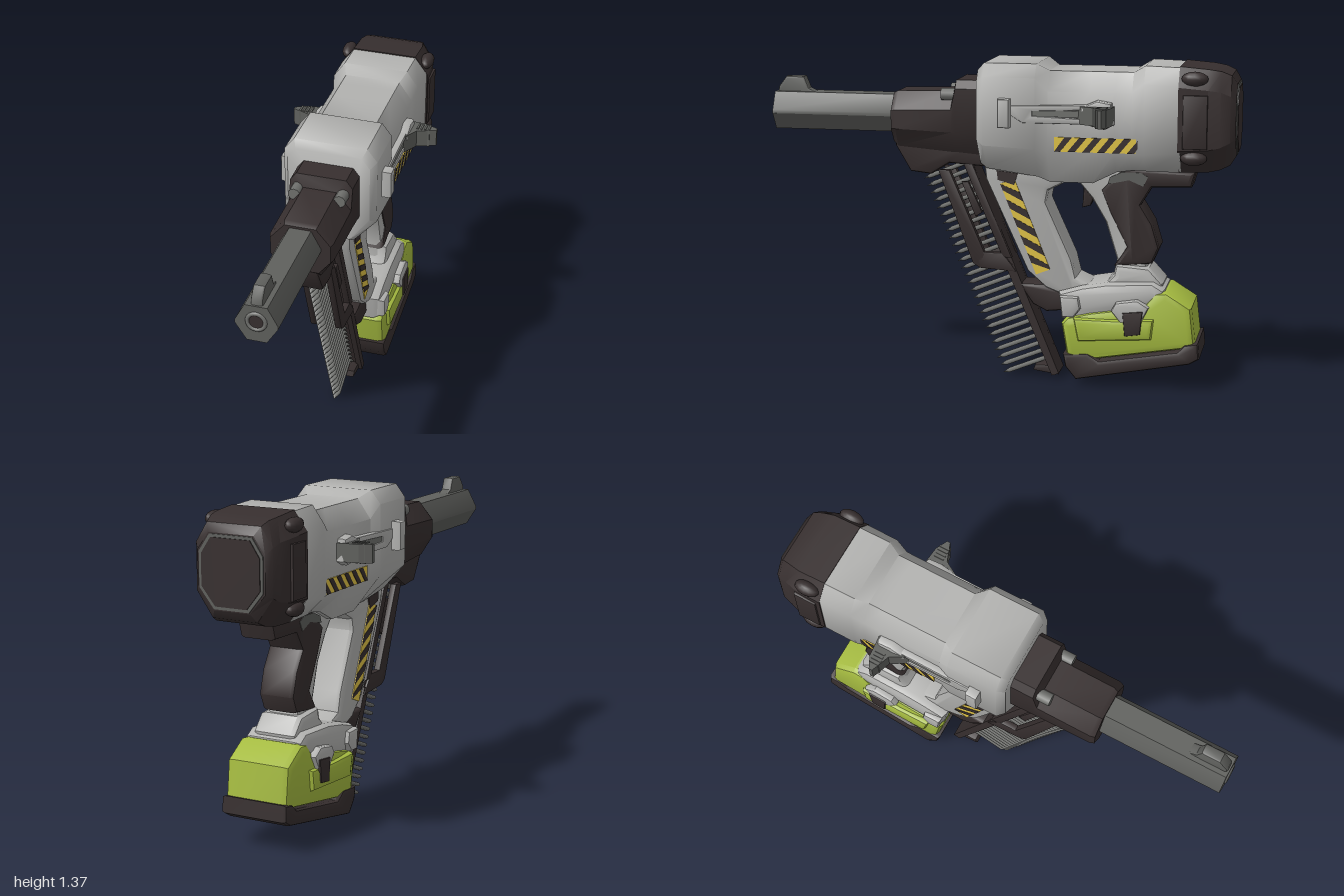
import * as THREE from 'three';
import { toCreasedNormals } from 'three/addons/utils/BufferGeometryUtils.js';

const mat = (name, color) => Object.assign(new THREE.MeshStandardMaterial({ color }), { name });

export function createModel() {
  const root = new THREE.Group();
  root.name = 'nailGun';
  const shell = mat('light grey shell', 0xb2b2b0);
  const dark = mat('dark rubber', 0x372f2f);
  const green = mat('green battery', 0xa5bb40);
  const yellow = mat('hazard yellow', 0xe2c446);
  const steel = mat('steel', 0x70716e);
  const gunmetal = mat('gunmetal', 0x5f605d);

  const add = (name, geo, material, parent = root) => {
    const m = new THREE.Mesh(geo, material);
    m.name = name;
    parent.add(m);
    return m;
  };

  // Side profile in [z, y], extruded across x with a rounded chamfer b
  const prism = (name, pts, width, material, b = 0, x = 0) => {
    const shape = new THREE.Shape(pts.map(p => new THREE.Vector2(p[0], p[1])));
    const depth = width - 2 * b;
    const g = new THREE.ExtrudeGeometry(shape, {
      depth, bevelEnabled: b > 0, bevelThickness: b, bevelSize: b, bevelOffset: -b, bevelSegments: 2,
    });
    g.translate(0, 0, -depth / 2).rotateY(-Math.PI / 2).translate(x, 0, 0);
    return add(name, toCreasedNormals(g, 0.7), material);
  };

  // Solid through rings listed from front to back, each counterclockwise from the front
  const loft = (name, rings, material, crease = 0.55) => {
    const pos = [], n = rings[0].length;
    const tri = (...v) => v.forEach(p => pos.push(...p));
    for (let i = 0; i < rings.length - 1; i++) {
      const a = rings[i], b = rings[i + 1];
      for (let k = 0; k < n; k++) {
        const l = (k + 1) % n;
        tri(a[k], b[k], b[l]);
        tri(a[k], b[l], a[l]);
      }
    }
    const f = rings[0], r = rings[rings.length - 1];
    for (let k = 1; k < n - 1; k++) {
      tri(f[0], f[k], f[k + 1]);
      tri(r[0], r[k + 1], r[k]);
    }
    const g = new THREE.BufferGeometry();
    g.setAttribute('position', new THREE.Float32BufferAttribute(pos, 3));
    return add(name, toCreasedNormals(g, crease), material);
  };

  // Eight-sided section: half width w, top/bottom y, flat half widths and chamfer heights
  const ring = (z, w, top, bot, tw, bw, ct, cb) => {
    const half = [[bw, bot], [w, bot + cb], [w, top - ct], [tw, top]];
    return [...half.map(p => [p[0], p[1], z]), ...half.reverse().map(p => [-p[0], p[1], z])];
  };

  // Main housing
  loft('housing', [
    ring(0.08, 0.175, 1.34, 0.94, 0.14, 0.09, 0.045, 0.11),
    ring(0.05, 0.198, 1.37, 0.92, 0.155, 0.1, 0.055, 0.11),
    ring(-0.17, 0.198, 1.37, 0.89, 0.155, 0.1, 0.055, 0.13),
    ring(-0.22, 0.178, 1.34, 0.87, 0.12, 0.1, 0.08, 0.14),
    ring(-0.4, 0.178, 1.34, 0.87, 0.12, 0.1, 0.08, 0.14),
    ring(-0.5, 0.178, 1.34, 0.92, 0.12, 0.1, 0.08, 0.09),
    ring(-0.57, 0.178, 1.34, 0.93, 0.12, 0.1, 0.08, 0.08),
    ring(-0.62, 0.19, 1.37, 0.93, 0.14, 0.11, 0.07, 0.08),
    ring(-0.77, 0.193, 1.365, 0.93, 0.14, 0.12, 0.07, 0.09),
  ], shell, 0.9);

  // Rear cap, its worn rim and the end plate
  loft('rearCap', [
    ring(-0.76, 0.198, 1.37, 0.93, 0.14, 0.12, 0.08, 0.1),
    ring(-0.88, 0.193, 1.36, 0.935, 0.14, 0.12, 0.08, 0.1),
    ring(-0.93, 0.178, 1.352, 0.945, 0.13, 0.11, 0.08, 0.1),
    ring(-0.97, 0.17, 1.335, 0.965, 0.12, 0.1, 0.08, 0.1),
    ring(-0.992, 0.15, 1.3, 1.0, 0.1, 0.08, 0.07, 0.08),
  ], dark);
  loft('rearRim', [
    ring(-0.985, 0.142, 1.295, 1.005, 0.095, 0.078, 0.07, 0.08),
    ring(-0.996, 0.142, 1.295, 1.005, 0.095, 0.078, 0.07, 0.08),
  ], gunmetal);
  loft('rearPlate', [
    ring(-0.99, 0.13, 1.283, 1.017, 0.087, 0.07, 0.065, 0.075),
    ring(-1.0, 0.13, 1.283, 1.017, 0.087, 0.07, 0.065, 0.075),
  ], dark);

  // Nose block and the neck that feeds it
  loft('nose', [
    ring(0.46, 0.125, 1.225, 1.02, 0.065, 0.075, 0.07, 0.06),
    ring(0.44, 0.132, 1.235, 1.0, 0.07, 0.08, 0.075, 0.08),
    ring(0.2, 0.132, 1.24, 0.98, 0.07, 0.08, 0.075, 0.09),
    ring(0.18, 0.132, 1.29, 0.98, 0.105, 0.08, 0.035, 0.09),
    ring(0.06, 0.132, 1.29, 0.97, 0.105, 0.08, 0.035, 0.09),
  ], dark);
  prism('noseNeck', [[0.455, 1.05], [0.455, 1.0], [0.39, 0.89], [0.3, 0.88], [0.22, 0.93], [0.07, 0.92], [0.07, 1.05]], 0.15, dark, 0.015);

  // Barrel, front sight and muzzle
  loft('barrel', [0.995, 0.45].map(z =>
    ring(z, 0.085, 1.215, 1.055, 0.045, 0.04, 0.075, 0.07)), gunmetal);
  prism('frontSight', [[0.99, 1.2], [0.985, 1.235], [0.95, 1.28], [0.87, 1.28], [0.85, 1.23], [0.79, 1.2]], 0.05, gunmetal, 0.01);
  const muzzle = add('muzzleRing', new THREE.TorusGeometry(0.036, 0.009, 8, 20), steel);
  muzzle.position.set(0, 1.145, 0.993);
  const bore = add('muzzleBore', new THREE.CircleGeometry(0.03, 20), dark);
  bore.position.set(0, 1.145, 0.9965);

  // Front column, handle base, collar and grip
  prism('magazineColumn', [[0.07, 0.97], [0.06, 0.87], [-0.12, 0.48], [-0.2, 0.41], [-0.33, 0.36], [-0.4, 0.43],
    [-0.33, 0.46], [-0.31, 0.54], [-0.2, 0.78], [-0.21, 0.83], [-0.27, 0.86], [-0.27, 0.97]], 0.18, shell, 0.02);
  prism('handleBase', [[-0.26, 0.4], [-0.275, 0.285], [-0.6, 0.33], [-0.72, 0.38], [-0.71, 0.43], [-0.66, 0.46],
    [-0.47, 0.45], [-0.36, 0.43]], 0.27, shell, 0.035);
  prism('handleCollar', [[-0.44, 0.42], [-0.49, 0.48], [-0.5, 0.525], [-0.64, 0.515], [-0.7, 0.45], [-0.69, 0.4]], 0.2, shell, 0.025);
  prism('gripFront', [[-0.33, 0.96], [-0.33, 0.87], [-0.39, 0.8], [-0.45, 0.7], [-0.5, 0.54], [-0.48, 0.45],
    [-0.64, 0.47], [-0.58, 0.75], [-0.6, 0.96]], 0.145, shell, 0.025);
  prism('grip', [[-0.43, 0.84], [-0.47, 0.74], [-0.54, 0.6], [-0.49, 0.515], [-0.57, 0.52], [-0.65, 0.53], [-0.68, 0.6],
    [-0.65, 0.7], [-0.6, 0.78], [-0.645, 0.855], [-0.81, 0.86], [-0.83, 0.93], [-0.53, 0.94]], 0.165, dark, 0.02);
  prism('trigger', [[-0.33, 0.88], [-0.35, 0.84], [-0.345, 0.75], [-0.38, 0.76], [-0.41, 0.83], [-0.41, 0.88]], 0.05, dark, 0.008);

  // Tilted battery pack with its dark foot
  prism('batteryPack', [[-0.3, 0.3], [-0.275, 0.27], [-0.305, 0.1], [-0.845, 0.19], [-0.825, 0.36], [-0.72, 0.425],
    [-0.67, 0.42], [-0.62, 0.36], [-0.4, 0.325]], 0.29, green, 0.03);
  prism('batteryFoot', [[-0.285, 0.14], [-0.295, 0.085], [-0.34, 0.03], [-0.82, 0.12], [-0.862, 0.145], [-0.856, 0.215],
    [-0.8, 0.205], [-0.77, 0.175], [-0.44, 0.118], [-0.39, 0.15]], 0.304, dark, 0.018);

  // Yellow plate with slanted dark bars, running from a to b in [z, y]
  const hazard = (name, a, b, wide, count, x, skew) => {
    const A = new THREE.Vector2(...a), d = new THREE.Vector2(...b).sub(A);
    const n = new THREE.Vector2(-d.y, d.x).setLength(wide / 2);
    const at = (t, s) => {
      const p = A.clone().addScaledVector(d, Math.min(1, Math.max(0, t))).addScaledVector(n, s);
      return [p.x, p.y];
    };
    prism(name, [at(0, -1), at(1, -1), at(1, 1), at(0, 1)], 0.005, yellow, 0, x);
    for (let i = 0; i < count; i++) {
      const t = (i + 0.3) / count, h = 0.5 / count, k = skew / count / 2;
      prism(name + 'Bar', [at(t - k, -1), at(t + h - k, -1), at(t + h + k, 1), at(t + k, 1)], 0.009, dark, 0, x);
    }
  };

  const ball = new THREE.SphereGeometry(1, 12, 8);
  for (const s of [-1, 1]) {
    hazard('bodyHazard', [-0.25, 1.042], [-0.62, 1.042], 0.06, 6, s * 0.18, -0.8);
    hazard('columnHazard', [-0.035, 0.865], [-0.19, 0.48], 0.065, 5, s * 0.091, -0.9);
    prism('columnCap', [[0.01, 0.91], [0.005, 0.87], [-0.065, 0.85], [-0.08, 0.9]], 0.009, dark, 0, s * 0.091);
    prism('gripWear', [[-0.47, 0.895], [-0.46, 0.865], [-0.55, 0.885], [-0.61, 0.86], [-0.63, 0.9], [-0.6, 0.918], [-0.52, 0.918]], 0.006, gunmetal, 0, s * 0.082);

    // Battery latch
    prism('latchSurround', [[-0.49, 0.34], [-0.53, 0.29], [-0.62, 0.3], [-0.65, 0.36], [-0.6, 0.39], [-0.51, 0.375]], 0.06, shell, 0.012, s * 0.135);
    prism('latch', [[-0.54, 0.335], [-0.55, 0.235], [-0.615, 0.245], [-0.625, 0.345]], 0.04, dark, 0.006, s * 0.152);
    prism('batterySideRib', [[-0.33, 0.3], [-0.35, 0.2], [-0.66, 0.22], [-0.67, 0.31], [-0.5, 0.3]], 0.05, green, 0.02, s * 0.14);
    prism('baseShoulder', [[-0.27, 0.39], [-0.28, 0.3], [-0.33, 0.3], [-0.36, 0.34], [-0.35, 0.39]], 0.06, shell, 0.015, s * 0.125);

    // Side belt hook with its slide rail
    prism('railBoss', [[-0.02, 1.23], [-0.02, 1.11], [-0.07, 1.11], [-0.07, 1.23]], 0.06, shell, 0.01, s * 0.21);
    prism('hookRail', [[-0.07, 1.2], [-0.07, 1.16], [-0.12, 1.13], [-0.4, 1.13], [-0.4, 1.15], [-0.16, 1.16], [-0.16, 1.18], [-0.4, 1.19], [-0.4, 1.21]], 0.04, shell, 0.005, s * 0.185);
    prism('hookRod', [[-0.12, 1.185], [-0.12, 1.16], [-0.42, 1.155], [-0.42, 1.185]], 0.03, steel, 0, s * 0.185);
    prism('hookMount', [[-0.36, 1.2], [-0.38, 1.13], [-0.46, 1.11], [-0.5, 1.13], [-0.49, 1.22], [-0.43, 1.23]], 0.06, shell, 0.015, s * 0.185);
    const arm = new THREE.Shape([[0.17, 0.31], [0.205, 0.36], [0.24, 0.42], [0.32, 0.45], [0.32, 0.465], [0.27, 0.49], [0.17, 0.5]]
      .map(p => new THREE.Vector2(s * p[0], p[1])));
    const hook = add('hook', new THREE.ExtrudeGeometry(arm, { depth: 0.075, bevelEnabled: false }).rotateX(-Math.PI / 2), gunmetal);
    hook.position.y = 1.13;
    for (let i = 0; i < 4; i++) {
      const rib = add('hookRib', new THREE.BoxGeometry(0.008, 0.083, 0.044), gunmetal);
      rib.position.set(s * (0.24 + i * 0.016), 1.168, -0.458);
    }

    // Corner lugs and raised grip pads on the rear cap, nose screws
    for (const y of [1.325, 1.0]) {
      const lug = add('capLug', ball, dark);
      lug.scale.set(0.03, 0.03, 0.055);
      lug.position.set(s * 0.178, y, -0.825);
    }
    prism('capPad', [[-0.78, 1.26], [-0.78, 1.04], [-0.88, 1.04], [-0.88, 1.26]], 0.02, dark, 0.005, s * 0.195);
    const screw = add('noseScrew', new THREE.CylinderGeometry(0.026, 0.026, 0.06, 10).rotateX(Math.PI / 2), steel);
    screw.position.set(s * 0.095, 1.228, 0.215);

    // Magazine side plates around an open window
    prism('magazineFrameFront', [[0.27, 0.9], [0.22, 0.9], [0.065, 0.54], [0.09, 0.48], [0.12, 0.5]], 0.03, dark, 0.005, s * 0.055);
    prism('magazineFrameFoot', [[0.11, 0.55], [0.09, 0.48], [-0.07, 0.47], [-0.01, 0.55]], 0.03, dark, 0.005, s * 0.055);
    prism('magazineFrameBack', [[0.16, 0.93], [0.12, 0.93], [-0.05, 0.53], [-0.01, 0.53]], 0.03, dark, 0.005, s * 0.055);
    prism('magazineSlot', [[0.17, 0.85], [0.14, 0.85], [0.08, 0.72], [0.11, 0.7]], 0.02, dark, 0.004, s * 0.05);
    prism('magazineRail', [[-0.02, 0.5], [-0.06, 0.5], [-0.255, 0.03], [-0.225, 0.02]], 0.025, dark, 0, s * 0.053);
  }

  // Rail spine, end stop and joint to the handle base
  prism('railSpine', [[0.14, 0.92], [0.115, 0.92], [-0.255, 0.03], [-0.235, 0.02]], 0.12, dark);
  prism('railStop', [[-0.15, 0.06], [-0.14, 0.035], [-0.25, 0.02], [-0.24, 0.06]], 0.1, dark, 0.006);
  prism('railJoint', [[-0.08, 0.42], [-0.2, 0.425], [-0.27, 0.4], [-0.29, 0.31], [-0.2, 0.3], [-0.14, 0.33]], 0.14, dark, 0.02);

  // Collated nails, broad across x and tilted down toward the front
  const profile = [[0, -0.215], [0.01, -0.18], [0.01, -0.006], [0.016, -0.004], [0.016, 0], [0, 0]]
    .map(p => new THREE.Vector2(p[0], p[1]));
  const nailGeo = new THREE.LatheGeometry(profile, 8).scale(2, 1, 1);
  const nails = new THREE.Group();
  nails.name = 'nailStrip';
  root.add(nails);
  const count = 27;
  for (let i = 0; i < count; i++) {
    const t = i / (count - 1);
    const nail = add('nail', nailGeo, steel, nails);
    nail.position.set(0, 0.93 - t * 0.845, 0.15 - t * 0.347);
    nail.rotation.x = -(Math.PI / 2 - 0.39);
  }
  return root;
}
